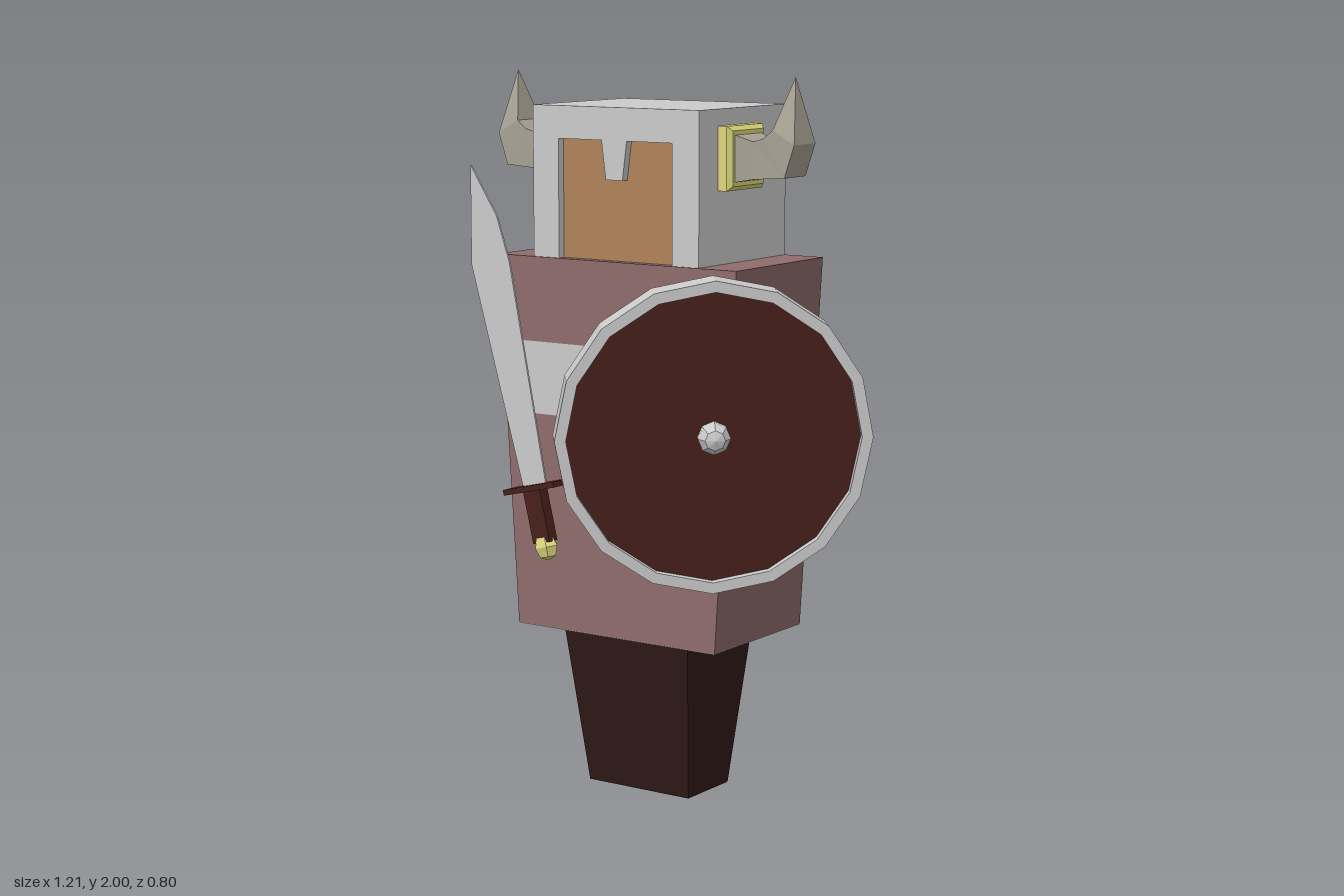
import * as THREE from 'three';

const CX = -0.117; // mid line of the figure
const HZ = -0.153; // depth of the horns

const mat = (color) => new THREE.MeshStandardMaterial({ color, flatShading: true, side: THREE.DoubleSide });
const grey = mat(0xcccccc), cloth = mat(0x906c6c), legs = mat(0x301a18), wood = mat(0x48201a);
const gold = mat(0xdcd87c), bone = mat(0xa8a294), skin = mat(0xb0845a);

// Skin equal-length rings of corners, closing both ends
function loft(rings) {
  const n = rings[0].length, pos = [];
  const tri = (...pts) => pts.forEach((p) => pos.push(...p));
  for (let r = 0; r + 1 < rings.length; r++) {
    for (let i = 0; i < n; i++) {
      const j = (i + 1) % n, a = rings[r], b = rings[r + 1];
      tri(a[i], a[j], b[j]);
      tri(a[i], b[j], b[i]);
    }
  }
  const first = rings[0], last = rings[rings.length - 1];
  for (let i = 1; i + 1 < n; i++) {
    tri(first[0], first[i + 1], first[i]);
    tri(last[0], last[i], last[i + 1]);
  }
  const g = new THREE.BufferGeometry();
  g.setAttribute('position', new THREE.Float32BufferAttribute(pos, 3));
  g.computeVertexNormals();
  return g;
}

// Horizontal rectangle centred on the mid line
const rect = (y, halfX, z0, z1) => [
  [CX - halfX, y, z1], [CX + halfX, y, z1], [CX + halfX, y, z0], [CX - halfX, y, z0]];

// Rectangle across a path running to +x: top and bottom corners, half depth
const cross = ([tx, ty], [bx, by], hz) => [
  [bx, by, HZ + hz], [bx, by, HZ - hz], [tx, ty, HZ - hz], [tx, ty, HZ + hz]];

const mirror = (rings) => rings.map((r) => r.map(([x, y, z]) => [2 * CX - x, y, z]).reverse());

function add(parent, name, geometry, material) {
  const m = new THREE.Mesh(geometry, material);
  m.name = name;
  parent.add(m);
  return m;
}

function extrude(points, depth) {
  const shape = new THREE.Shape(points.map(([x, y]) => new THREE.Vector2(x, y)));
  return new THREE.ExtrudeGeometry(shape, { depth, bevelEnabled: false });
}

function addBody(g) {
  add(g, 'legs', loft([rect(0, 0.169, -0.284, -0.085), rect(0.46, 0.209, -0.348, -0.02)]), legs);
  // Tunic widens evenly toward the shoulders, with a band across it
  const half = (y) => 0.331 + (y - 0.46) / 1.04 * 0.064;
  const slab = (y0, y1) => loft([y0, y1].map((y) => rect(y, half(y), -0.404, 0.03)));
  add(g, 'tunicUnderside', loft([rect(0.458, 0.33, -0.403, 0.029), rect(0.461, 0.33, -0.403, 0.029)]), grey);
  add(g, 'tunicSkirt', slab(0.46, 1.063), cloth);
  add(g, 'tunicBand', slab(1.063, 1.265), grey);
  add(g, 'tunicShoulders', slab(1.265, 1.5), cloth);
}

function addHead(g) {
  add(g, 'helmetShell', loft([rect(1.5, 0.273, -0.402, -0.005), rect(1.915, 0.273, -0.402, -0.005)]), grey);
  // Front plate with the face opening and nose guard
  const plate = extrude([
    [-0.39, 1.5], [-0.304, 1.5], [-0.304, 1.826], [-0.16, 1.826], [-0.146, 1.72], [-0.091, 1.72],
    [-0.077, 1.826], [0.07, 1.826], [0.07, 1.5], [0.156, 1.5], [0.156, 1.915], [-0.39, 1.915]], 0.03);
  add(g, 'helmetFront', plate, grey).position.z = -0.005;
  add(g, 'face', new THREE.BoxGeometry(0.374, 0.326, 0.01), skin).position.set(CX, 1.663, -0.003);

  const socket = [
    cross([0.15, 1.87], [0.15, 1.698], 0.087), cross([0.183, 1.87], [0.183, 1.698], 0.087),
    cross([0.195, 1.858], [0.195, 1.71], 0.075)];
  const horn = [
    cross([0.19, 1.848], [0.19, 1.72], 0.066), cross([0.242, 1.83], [0.242, 1.73], 0.05),
    cross([0.278, 1.84], [0.342, 1.737], 0.053), cross([0.305, 1.862], [0.372, 1.825], 0.053),
    cross([0.342, 2], [0.342, 2], 0)];
  add(g, 'leftHornSocket', loft(socket), gold);
  add(g, 'rightHornSocket', loft(mirror(socket)), gold);
  add(g, 'leftHorn', loft(horn), bone);
  add(g, 'rightHorn', loft(mirror(horn)), bone);
}

function addSword(g) {
  const sword = new THREE.Group();
  sword.name = 'sword';
  sword.position.z = 0.067;
  const blade = extrude([
    [-0.4, 0.86], [-0.32, 0.87], [-0.442, 1.485], [-0.485, 1.61], [-0.574, 1.745], [-0.574, 1.47]], 0.006);
  add(sword, 'blade', blade, grey).position.z = -0.003;
  const hilt = new THREE.Group();
  hilt.name = 'hilt';
  hilt.position.set(-0.362, 0.862, 0);
  hilt.rotation.z = 0.235;
  add(hilt, 'guard', new THREE.BoxGeometry(0.178, 0.016, 0.06), wood);
  add(hilt, 'grip', new THREE.BoxGeometry(0.058, 0.15, 0.036), wood).position.y = -0.08;
  const pommel = add(hilt, 'pommel', new THREE.SphereGeometry(0.039, 6, 4), gold);
  pommel.position.y = -0.168;
  pommel.scale.z = 0.75;
  sword.add(hilt);
  g.add(sword);
}

function addShield(g) {
  // Built facing +z, then turned outward and leaned slightly forward
  const shield = new THREE.Group();
  shield.name = 'shield';
  const SIDES = 16, R = 0.42, r = 0.39, h = 0.042;
  const profile = [[R, -h], [R, h], [r, h], [r, -h], [R, -h]].map(([x, y]) => new THREE.Vector2(x, y));
  add(shield, 'shieldRim', new THREE.LatheGeometry(profile, SIDES), grey).rotation.x = Math.PI / 2;
  const board = add(shield, 'shieldBoard', new THREE.CylinderGeometry(0.392, 0.392, 0.03, SIDES), wood);
  board.rotation.x = Math.PI / 2;
  board.position.z = 0.003;
  const boss = add(shield, 'shieldBoss', new THREE.SphereGeometry(0.046, 8, 5), grey);
  boss.rotation.x = Math.PI / 2;
  boss.position.z = 0.022;
  shield.position.set(0.251, 1.07, 0.097);
  shield.rotation.set(0.06, 0.695, 0, 'YXZ');
  g.add(shield);
}

export function createModel() {
  const g = new THREE.Group();
  g.name = 'hornedWarrior';
  addBody(g);
  addHead(g);
  addSword(g);
  addShield(g);
  return g;
}
